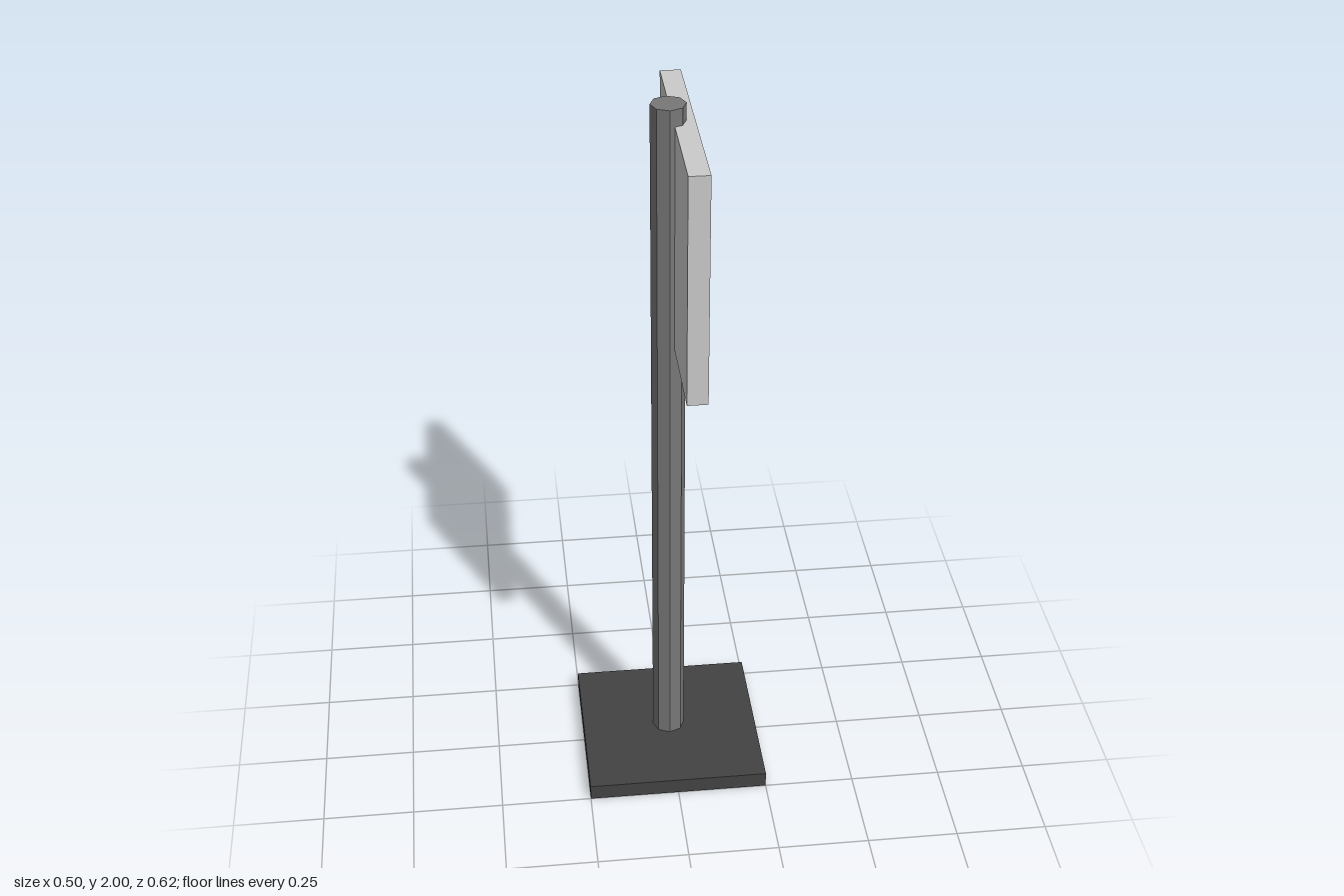
import * as THREE from 'three';

const paint = (name, color) => {
  const material = new THREE.MeshStandardMaterial({ color });
  material.name = name;
  return material;
};

// Rectangle with small rounded corners, centred on the origin
function roundedSquare(size, r) {
  const h = size / 2;
  const shape = new THREE.Shape();
  shape.absarc(h - r, h - r, r, 0, Math.PI / 2);
  shape.absarc(-h + r, h - r, r, Math.PI / 2, Math.PI);
  shape.absarc(-h + r, -h + r, r, Math.PI, Math.PI * 1.5);
  shape.absarc(h - r, -h + r, r, Math.PI * 1.5, Math.PI * 2);
  shape.closePath();
  return shape;
}

export function createModel() {
  const group = new THREE.Group();
  group.name = 'signPost';

  const baseGrey = paint('dark grey', 0x434343);
  const poleGrey = paint('mid grey', 0x777777);
  poleGrey.flatShading = true;
  const panelGrey = paint('light grey', 0xcacaca);
  const faceBlue = paint('blue', 0x2287ce);

  const add = (name, geometry, material, x, y, z) => {
    const mesh = new THREE.Mesh(geometry, material);
    mesh.name = name;
    mesh.position.set(x, y, z);
    group.add(mesh);
    return mesh;
  };

  // Square foot plate
  add('base', new THREE.BoxGeometry(0.5, 0.045, 0.5), baseGrey, 0, 0.0225, 0);

  // Eight-sided pole
  add('pole', new THREE.CylinderGeometry(0.045, 0.045, 1.955, 8), poleGrey, -0.002, 1.0225, -0.002);

  // Sign board on the left side of the pole
  add('signBoard', new THREE.BoxGeometry(0.054, 0.62, 0.62), panelGrey, 0.037, 1.645, 0);

  // Blue sign face, a thin plate facing +x
  const plate = new THREE.ExtrudeGeometry(roundedSquare(0.51, 0.015), {
    depth: 0.002, bevelEnabled: false, curveSegments: 3,
  });
  add('signFace', plate, faceBlue, 0.0635, 1.645, 0).rotation.y = Math.PI / 2;

  return group;
}
